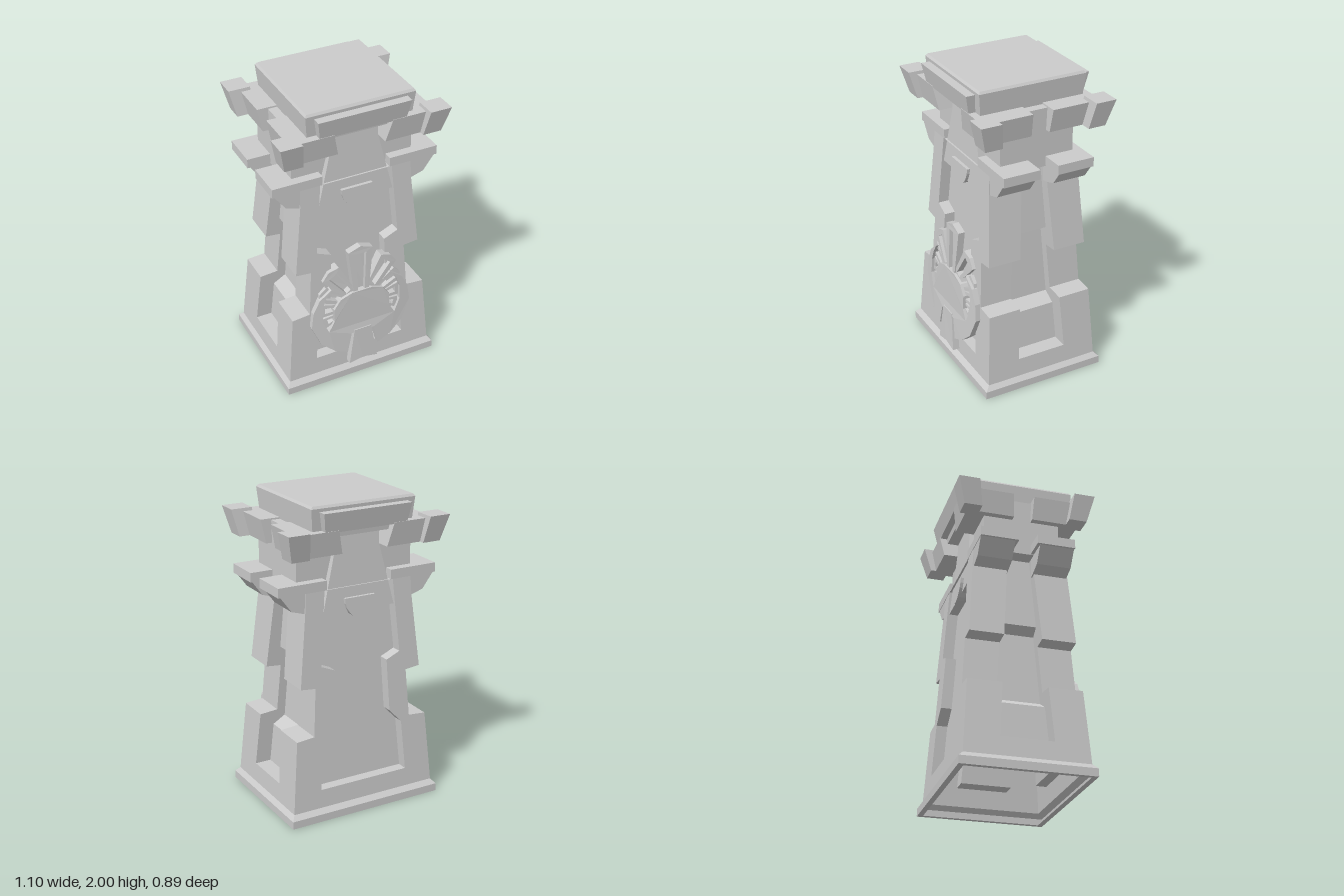
import * as THREE from 'three';

const mat = new THREE.MeshStandardMaterial({ color: 0xcccccc, flatShading: true, side: THREE.DoubleSide });

// Leaning plane of the front wall, and half width of the side slot
const wallZ = y => 0.385 - 0.0605 * (y - 0.08);
const slotZ = y => 0.165 - 0.067 * (y - 0.2);

const V = p => p.map(([x, y]) => new THREE.Vector2(x, y));
const mirror = half => [...half, ...half.map(([x, y]) => [-x, y]).reverse()];

function add(parent, name, geo) {
  const g = geo.index ? geo.toNonIndexed() : geo;
  g.computeVertexNormals();
  const m = new THREE.Mesh(g, mat);
  m.name = name;
  parent.add(m);
  return m;
}

// Moves each vertex of a geometry by a rule
function warp(geo, rule) {
  const p = geo.attributes.position;
  for (let i = 0; i < p.count; i++) p.setXYZ(i, ...rule(p.getX(i), p.getY(i), p.getZ(i)));
  return geo;
}

function shapeOf(outline, hole) {
  const s = new THREE.Shape(V(outline));
  if (hole) s.holes.push(new THREE.Path(V(hole)));
  return s;
}
const sheet = (outline, hole, rule) => warp(new THREE.ShapeGeometry(shapeOf(outline, hole)), rule);
const plate = (outline, hole, depth, rule) =>
  warp(new THREE.ExtrudeGeometry(shapeOf(outline, hole), { depth, bevelEnabled: false }), rule);

// Quads between two polylines of equal length
function strip(a, b) {
  const pos = [];
  for (let i = 0; i < a.length - 1; i++) pos.push(...a[i], ...b[i], ...b[i + 1], ...a[i], ...b[i + 1], ...a[i + 1]);
  const g = new THREE.BufferGeometry();
  g.setAttribute('position', new THREE.Float32BufferAttribute(pos, 3));
  return g;
}

// Box whose bottom and top are given as [x0, x1, z0, z1]
function taper(bottom, top, y0, y1, sx = 1, sz = 1) {
  return warp(new THREE.BoxGeometry(1, 1, 1), (x, y, z) => {
    const r = y < 0 ? bottom : top;
    return [sx * (x * sx < 0 ? r[0] : r[1]), y < 0 ? y0 : y1, sz * (z * sz < 0 ? r[2] : r[3])];
  });
}
const centred = (x, z) => [-x, x, -z, z];

// Stepped outline of the tower seen from the front, and the floor of the side slot
const profile = [[0.505, 0.08], [0.495, 0.2], [0.465, 0.55], [0.345, 0.56], [0.325, 0.87], [0.425, 0.88], [0.375, 1.35], [0.37, 1.47]];
const slotFloor = [[0.39, 0.2], [0.37, 0.46], [0.29, 0.51], [0.265, 0.96], [0.33, 1.0], [0.3, 1.47]];
const recess = mirror([[0.31, 0.2], [0.285, 0.53], [0.2, 0.62], [0.185, 0.96], [0.28, 1.0], [0.24, 1.469]]);

// Front wall with its recess and the raised plate; also used for the back
function wall(name) {
  const g = new THREE.Group();
  g.name = name;
  const depth = 0.07, ring = [...recess, recess[0]];
  add(g, 'wallFace', sheet(mirror(profile), recess, (x, y) => [x, y, wallZ(y)]));
  add(g, 'recessFloor', sheet(recess, null, (x, y) => [x, y, wallZ(y) - depth]));
  add(g, 'recessEdge', strip(ring.map(([x, y]) => [x, y, wallZ(y)]), ring.map(([x, y]) => [x, y, wallZ(y) - depth])));
  add(g, 'upperPlate', plate(mirror([[0.25, 1.31], [0.155, 1.7], [0.155, 1.79]]), null, 0.07,
    (x, y, z) => [x, y, wallZ(y) - 0.082 + z]));
  const half = Array.from({ length: 13 }, (_, i) => Math.PI * (1 + i / 12)).map(a => [0.105 * Math.cos(a), 1.4 + 0.13 * Math.sin(a)]);
  add(g, 'halfDisc', plate(half, null, 0.05, (x, y, z) => [x, y, wallZ(y) - 0.042 + z]));
  add(g, 'topBlock', taper([-0.28, 0.28, 0.2, 0.385], [-0.3, 0.3, 0.2, 0.41], 1.84, 1.965));
  return g;
}

// Stepped side wall with its tapering slot
function sideWall(name) {
  const g = new THREE.Group();
  g.name = name;
  const low = profile.slice(0, 2), high = profile.slice(1);
  add(g, 'sideFoot', strip(low.map(([x, y]) => [x, y, wallZ(y)]), low.map(([x, y]) => [x, y, -wallZ(y)])));
  for (const s of [1, -1]) {
    add(g, 'sideFace', strip(high.map(([x, y]) => [x, y, s * wallZ(y)]), high.map(([x, y]) => [x, y, s * slotZ(y)])));
    add(g, 'slotWall', sheet([...high, ...[...slotFloor].reverse()], null, (x, y) => [x, y, s * slotZ(y)]));
  }
  const floor = [high[0], ...slotFloor];
  add(g, 'slotFloor', strip(floor.map(([x, y]) => [x, y, slotZ(y)]), floor.map(([x, y]) => [x, y, -slotZ(y)])));
  return g;
}

// Crescent, body, tail and feathers on the front
function emblem() {
  const g = new THREE.Group();
  g.name = 'emblem';
  const lift = (base) => (x, y, z) => [x, y, wallZ(y) + base + z - 0.15 * x * x];
  const body = mirror([[0.08, 0.35], [0.11, 0.21], [0.2, 0.25], [0.29, 0.33], [0.35, 0.47], [0.335, 0.58], [0.29, 0.67],
    [0.21, 0.73], [0.25, 0.67], [0.275, 0.6], [0.275, 0.5], [0.235, 0.41], [0.195, 0.48], [0.195, 0.57], [0.15, 0.635], [0.07, 0.665]]);
  add(g, 'crescentBody', plate(body, null, 0.05, lift(0)));
  add(g, 'tail', plate([[-0.06, 0.37], [-0.1, 0.115], [0, 0.135], [0.1, 0.115], [0.06, 0.37]], null, 0.045, lift(0.008)));
  // angle, inner radius, outer radius, size of each feather
  const feathers = [[0, 0.07, 0.44, 1], [36, 0.12, 0.37, 0.8], [62, 0.13, 0.32, 0.65], [86, 0.15, 0.29, 0.55], [107, 0.17, 0.28, 0.45]];
  for (const [deg, r0, r1, w] of feathers) for (const s of deg ? [1, -1] : [1]) {
    const a = s * THREE.MathUtils.degToRad(deg);
    const turn = ([u, v]) => [u * Math.cos(a) + v * Math.sin(a), 0.55 - u * Math.sin(a) + v * Math.cos(a)];
    const ring = k => mirror([[0.05 * w * k, r0 + (1 - k) * 0.05], [0.085 * w * k, r1 - 0.03 * w - (1 - k) * 0.04]]);
    const outer = ring(1);
    outer.splice(2, 0, [0, r1]);
    const rim = outer.map(turn), hole = ring(0.45).map(turn);
    const base = deg ? -0.03 : -0.005;
    add(g, 'featherRim', plate(rim, hole, deg ? 0.062 : 0.045, lift(base)));
    add(g, 'featherBack', plate(rim, null, 0.02, lift(base)));
  }
  return g;
}

export function createModel() {
  const tower = new THREE.Group();
  tower.name = 'tower';

  // Hollow plinth
  const rings = [[0.5, 0.38, 0], [0.53, 0.415, 0], [0.53, 0.415, 0.05], [0.505, 0.385, 0.08]]
    .map(([x, z, y]) => [[x, y, z], [x, y, -z], [-x, y, -z], [-x, y, z], [x, y, z]]);
  for (let i = 0; i < 3; i++) add(tower, 'plinth', strip(rings[i], rings[i + 1]));

  // Walls
  const back = wall('backWall'), right = sideWall('rightWall');
  back.rotation.y = right.rotation.y = Math.PI;
  tower.add(wall('frontWall'), back, sideWall('leftWall'), right, emblem());

  // Neck and cap
  add(tower, 'neck', taper(centred(0.4, 0.245), centred(0.4, 0.245), 1.465, 1.84));
  add(tower, 'cap', taper(centred(0.338, 0.338), centred(0.355, 0.355), 1.8, 1.985));
  add(tower, 'capBevel', taper(centred(0.355, 0.355), centred(0.345, 0.345), 1.985, 2));

  // Ledges, brackets and collar on each corner
  const bracket = [[0.34, 1.34], [0.375, 1.345], [0.462, 1.372], [0.535, 1.47], [0.34, 1.47]];
  for (const sx of [1, -1]) for (const sz of [1, -1]) {
    const ledge = [0.225, 0.55, 0.06, 0.303];
    add(tower, 'ledge', taper(ledge, ledge, 1.47, 1.53, sx, sz));
    add(tower, 'bracket', plate(bracket.map(([x, y]) => [sx * x, y]), null, 0.22,
      (x, y, z) => [x, y, sz > 0 ? 0.08 + z : -0.3 + z]));
    add(tower, 'collarFront', taper([0.155, 0.42, 0.2, 0.365], [0.19, 0.43, 0.2, 0.39], 1.7, 1.85, sx, sz));
    add(tower, 'collarSide', taper([0.3, 0.44, 0.06, 0.3], [0.3, 0.47, 0.067, 0.32], 1.7, 1.85, sx, sz));
    add(tower, 'cornerBlock', taper([0.39, 0.51, 0.285, 0.4], [0.41, 0.55, 0.31, 0.445], 1.7, 1.87, sx, sz));
  }
  return tower;
}
